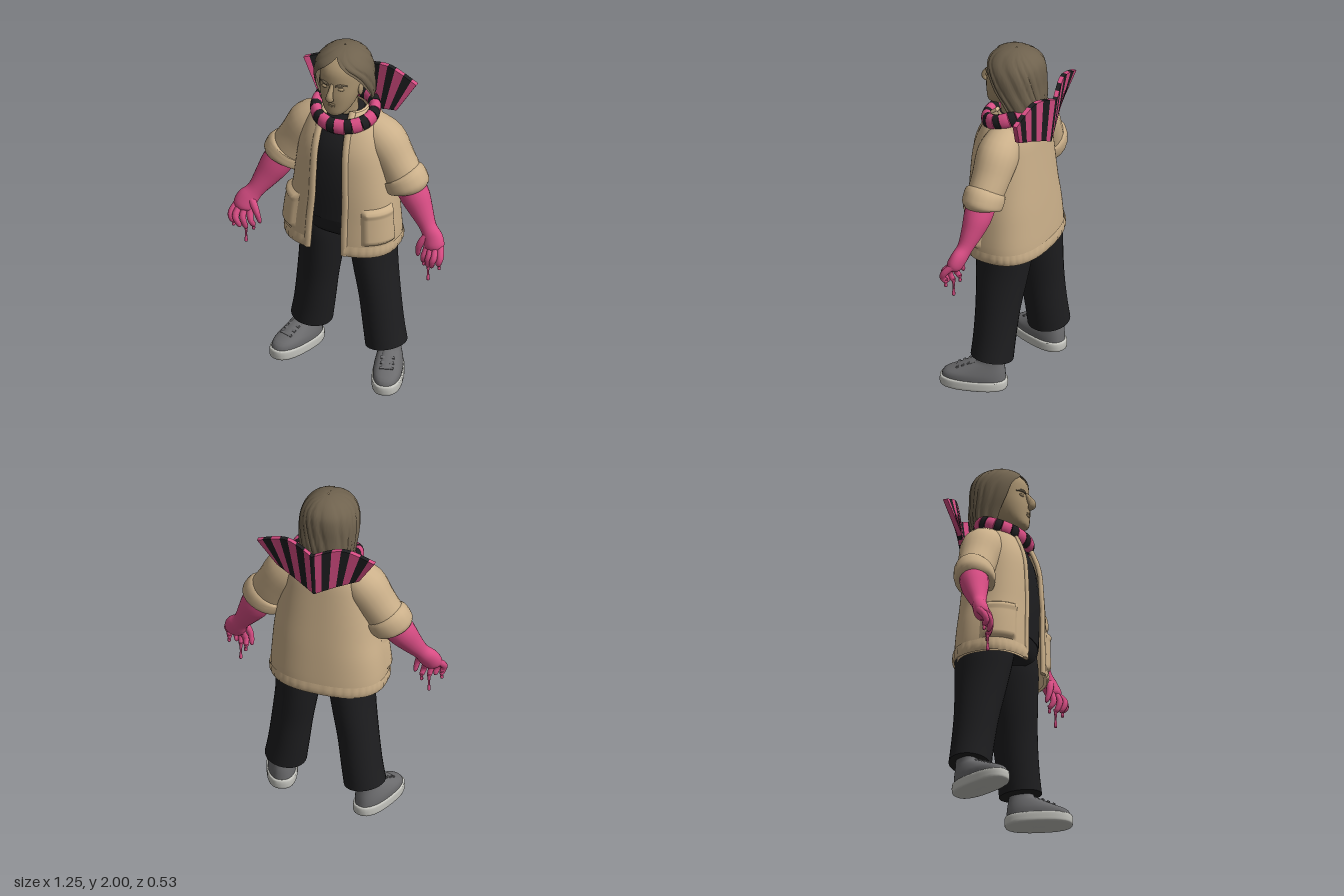
import * as THREE from 'three';
import { toCreasedNormals } from 'three/addons/utils/BufferGeometryUtils.js';

const V = (x, y, z) => new THREE.Vector3(x, y, z);
const material = (name, color) => {
  const m = new THREE.MeshStandardMaterial({ color, side: THREE.DoubleSide });
  m.name = name;
  return m;
};

// Smooth interpolation through rows of equally many numbers, t from 0 to 1
function spline(rows, t) {
  const n = rows.length - 1, s = t * n, i = Math.max(0, Math.min(Math.floor(s), n - 1)), f = s - i;
  const at = k => rows[Math.max(0, Math.min(n, k))];
  return rows[0].map((_, c) => {
    const a = at(i - 1)[c], b = at(i)[c], d = at(i + 1)[c], e = at(i + 2)[c];
    const m0 = (d - a) / 2, m1 = (e - b) / 2;
    return b + f * (m0 + f * (3 * (d - b) - 2 * m0 - m1 + f * (2 * (b - d) + m0 + m1)));
  });
}

// Surface from f(u, v); a closed one wraps around u and is capped at both ends
function grid(nu, nv, f, closed = true) {
  const pos = [], idx = [], cols = closed ? nu : nu + 1;
  for (let i = 0; i <= nv; i++) for (let j = 0; j < cols; j++) pos.push(...f(j / nu, i / nv).toArray());
  for (let i = 0; i < nv; i++) for (let j = 0; j < nu; j++) {
    const k = (j + 1) % cols, a = i * cols + j, b = i * cols + k;
    idx.push(a, b, b + cols, a, b + cols, a + cols);
  }
  if (closed) for (const i of [0, nv]) {
    const c = V(0, 0, 0), id = pos.length / 3;
    for (let j = 0; j < cols; j++) c.addScaledVector(f(j / nu, i / nv), 1 / cols);
    pos.push(...c.toArray());
    for (let j = 0; j < cols; j++) {
      const a = i * cols + j, b = i * cols + (j + 1) % cols;
      idx.push(id, ...(i ? [a, b] : [b, a]));
    }
  }
  const g = new THREE.BufferGeometry();
  g.setAttribute('position', new THREE.Float32BufferAttribute(pos, 3));
  g.setIndex(idx);
  return toCreasedNormals(g, 0.9);
}

// Point on a horizontal rounded section; row = [y, rx, rz, cz, cx], angle 0 is the front
function around([y, rx, rz, cz, cx], a, power = 2, off = 0) {
  const p = w => Math.sign(w) * Math.abs(w) ** (2 / power);
  return V(cx + (Math.max(rx, 0) + off) * p(Math.sin(a)), y, cz + (Math.max(rz, 0) + off) * p(Math.cos(a)));
}
function stack(rows, power = 2, n = 28) {
  const full = rows.map(([y, rx, rz, cz = 0, cx = 0]) => [y, rx, rz, cz, cx]);
  return grid(n, (rows.length - 1) * 3, (u, v) => around(spline(full, v), u * Math.PI * 2, power));
}

// Tapered limb along rows of [x, y, z, sideRadius, depthRadius]
function limb(rows, n = 20, ref = V(0, 0, 1)) {
  const full = rows.map(([x, y, z, side, depth = side]) => [x, y, z, side, depth]);
  return grid(n, (rows.length - 1) * 4, (u, v) => {
    const p = spline(full, v), a = u * Math.PI * 2;
    const lo = spline(full, Math.max(0, v - 0.01)), hi = spline(full, Math.min(1, v + 0.01));
    const T = V(hi[0] - lo[0], hi[1] - lo[1], hi[2] - lo[2]).normalize();
    const N = ref.clone().addScaledVector(T, -ref.dot(T)).normalize(), B = T.clone().cross(N);
    return V(p[0], p[1], p[2]).addScaledVector(B, Math.max(0, p[3]) * Math.sin(a))
      .addScaledVector(N, Math.max(0, p[4]) * Math.cos(a));
  });
}

export function createModel() {
  const root = new THREE.Group();
  const coatM = material('tan coat', 0xcbb08a), skin = material('skin', 0xa6906e);
  const hairM = material('brown hair', 0x6f624e), pink = material('pink', 0xd84d84);
  const black = material('black cloth', 0x1e1e20), shoeM = material('grey shoe', 0x6b6b6d);
  const soleM = material('pale sole', 0xc4c4be);
  const add = (name, geo, mat, parent = root) => {
    const m = new THREE.Mesh(geo, mat);
    m.name = name;
    parent.add(m);
    return m;
  };

  // Coat: open front, wide hem, rounded shoulders
  const coatRows = [[0.8, 0.315, 0.215, -0.005, -0.015], [0.87, 0.32, 0.215, -0.005, -0.012], [1, 0.308, 0.21, -0.003, -0.008],
    [1.12, 0.29, 0.205, 0, 0], [1.25, 0.272, 0.198, 0.003, 0], [1.4, 0.25, 0.187, 0.003, 0], [1.5, 0.225, 0.168, -0.008, 0],
    [1.58, 0.185, 0.138, -0.02, 0], [1.63, 0.12, 0.105, -0.03, 0]];
  const coatPoint = (u, v, off = 0) => {
    const row = spline(coatRows, v);
    const gap = w => Math.asin(Math.min(1, (w / row[1]) ** 1.25));
    const a0 = gap(0.1 - 0.03 * v), a1 = Math.PI * 2 - gap(0.125 - 0.03 * v);
    return around(row, a0 + u * (a1 - a0), 2.5, off);
  };
  add('coatBody', grid(64, 24, (u, v) => coatPoint(u, v), false), coatM);
  add('coatLining', grid(64, 24, (u, v) => coatPoint(u, v, -0.015), false), coatM);
  add('coatHem', grid(108, 4, (u, v) => coatPoint(u, v * 0.12,
    0.004 + 0.008 * Math.sin(Math.PI * v) * (0.6 + 0.4 * Math.cos(u * 226))), false), coatM);
  for (const u of [0, 1]) {
    const edge = [...Array(9)].map((_, i) => [...coatPoint(u, i / 8, -0.004).toArray(), 0.02, 0.013]);
    add('coatFrontEdge', limb(edge, 10), coatM);
  }
  // Patch pockets follow the coat surface
  const puff = w => Math.min(1, 9 * Math.min(w, 1 - w));
  for (const start of [0.055, 0.785]) {
    add('pocket', grid(18, 18, (u, v) => coatPoint(start + u * 0.16, 0.13 + v * 0.225,
      0.02 * puff(u) * puff(v) + (v > 0.8 && v < 0.97 ? 0.006 * puff(u) : 0)), false), coatM);
  }

  // Shirt and hips
  add('shirt', stack([[0.98, 0.24, 0.17], [1.2, 0.235, 0.18], [1.4, 0.2, 0.168], [1.52, 0.15, 0.135, -0.01], [1.61, 0.09, 0.09, -0.02]], 2.5), black);
  add('hips', stack([[0.86, 0.2, 0.13, -0.02], [0.9, 0.25, 0.16, -0.015], [1, 0.26, 0.175, -0.005], [1.02, 0.24, 0.165]], 2.3), black);

  // Arms, hands, legs and shoes, one set per side
  for (const s of [1, -1]) {
    const side = s > 0 ? 'left' : 'right';
    const arm = new THREE.Group();
    arm.name = side + 'Arm';
    const swing = s > 0 ? 0 : 0.065;
    const flip = rows => rows.map(([x, y, z, ...r]) =>
      [s * x, y, z + swing * Math.min(1, Math.max(0, (1.24 - y) / 0.28)), ...r]);
    add('sleeve', limb(flip([[0.12, 1.56, -0.03, 0.06, 0.08], [0.21, 1.46, -0.025, 0.12, 0.115],
      [0.29, 1.34, -0.02, 0.11, 0.105], [0.35, 1.24, -0.01, 0.11, 0.095]])), coatM, arm);
    add('cuff', limb(flip([[0.327, 1.28, -0.012, 0.1, 0.09], [0.335, 1.268, -0.012, 0.122, 0.108], [0.352, 1.235, -0.01, 0.128, 0.112],
      [0.37, 1.2, -0.008, 0.122, 0.106], [0.374, 1.19, -0.008, 0.09, 0.08]])), coatM, arm);
    add('forearm', limb(flip([[0.36, 1.24, -0.01, 0.085, 0.08], [0.41, 1.15, -0.004, 0.084, 0.076], [0.455, 1.07, 0.008, 0.066, 0.058],
      [0.5, 0.995, 0.025, 0.048, 0.042], [0.535, 0.945, 0.042, 0.06, 0.042], [0.555, 0.9, 0.06, 0.055, 0.04], [0.56, 0.875, 0.068, 0.02, 0.02]])), pink, arm);
    // Curling fingers; each row gives root x, knuckle x, tip x, tip y, forward reach
    for (const [a, b, c, y, z] of [[0.585, 0.605, 0.593, 0.815, 0.105], [0.56, 0.575, 0.555, 0.8, 0.115],
      [0.535, 0.54, 0.525, 0.79, 0.1], [0.515, 0.508, 0.488, 0.8, 0.08]]) {
      add('finger', limb(flip([[a, 0.92, 0.05, 0.02], [b, 0.87, z - 0.01, 0.019], [(b + c) / 2, 0.835, z, 0.017],
        [c, y, z - 0.015, 0.013], [c - 0.004, y - 0.01, z - 0.02, 0.003]]), 10), pink, arm);
    }
    add('thumb', limb(flip([[0.52, 0.97, 0.045, 0.022], [0.485, 0.925, 0.065, 0.021], [0.465, 0.88, 0.07, 0.017],
      [0.455, 0.83, 0.06, 0.012], [0.453, 0.815, 0.058, 0.003]]), 10), pink, arm);
    for (const [x, top, end, z] of [[0.525, 0.8, 0.69, 0.08], [0.595, 0.83, 0.78, 0.09], [0.49, 0.81, 0.765, 0.06]]) {
      add('drip', limb(flip([[x, top, z, 0.012], [x, (top + end) / 2, z, 0.006], [x, end + 0.02, z, 0.009],
        [x, end + 0.006, z, 0.009], [x, end, z, 0.002]]), 8), pink, arm);
    }
    root.add(arm);

    const leg = new THREE.Group();
    leg.name = side + 'Leg';
    const back = s > 0 ? 0 : -0.085;
    add('trouserLeg', limb([[0.13, 1, -0.02, 0.11, 0.15], [0.147, 0.85, -0.025, 0.125, 0.165], [0.165, 0.68, -0.02, 0.118, 0.148],
      [0.195, 0.48, -0.012, 0.112, 0.125], [0.22, 0.3, -0.005, 0.112, 0.117], [0.24, 0.18, 0, 0.115, 0.117]]
      .map(([x, y, z, ...r]) => [s * x, y, z + back * Math.min(1, (1 - y) / 0.8), ...r]), 28), black, leg);
    const shoe = new THREE.Group();
    shoe.name = 'shoe';
    add('sole', stack([[0, 0.07, 0.165], [0.006, 0.083, 0.182], [0.03, 0.085, 0.186], [0.055, 0.084, 0.184], [0.06, 0.076, 0.176]], 2.5), soleM, shoe);
    add('shoeUpper', stack([[0.05, 0.078, 0.176], [0.085, 0.078, 0.168, -0.006], [0.115, 0.071, 0.135, -0.036],
      [0.145, 0.062, 0.098, -0.068], [0.17, 0.056, 0.072, -0.09], [0.21, 0.054, 0.064, -0.095]], 2.4), shoeM, shoe);
    add('shoeTongue', limb([[0, 0.165, -0.02, 0.03, 0.012], [0, 0.14, 0.03, 0.035, 0.012], [0, 0.112, 0.09, 0.03, 0.01]], 12, V(0, 1, 0)), shoeM, shoe);
    for (const [y, z] of [[0.15, 0.025], [0.135, 0.055], [0.12, 0.085]]) {
      const lace = add('lace', new THREE.BoxGeometry(0.075, 0.008, 0.014), shoeM, shoe);
      lace.position.set(0, y, z);
      lace.rotation.x = 0.45;
    }
    shoe.position.set(s * 0.29, 0, s > 0 ? 0.085 : 0);
    shoe.rotation.y = s * 0.32;
    leg.add(shoe);
    root.add(leg);
  }

  // Rolled scarf around the neck, low at the front, in alternating stripes
  const pairs = 11, step = 2 * Math.PI / pairs;
  for (let k = 0; k < pairs; k++) {
    for (const [from, to, mat] of [[0, 0.58, pink], [0.58, 1, black]]) {
      const rows = [from, (from + to) / 2, to].map(t => {
        const a = (k + t) * step;
        return [0.165 * Math.sin(a), 1.615 - 0.048 * Math.cos(a), 0.005 + 0.13 * Math.cos(a), 0.032, 0.045];
      });
      add('scarfStripe', limb(rows, 14, V(0, 1, 0)), mat);
    }
  }
  // Pointed kerchief standing out behind the neck
  const upper = [[0, 1.75, -0.255], [0.16, 1.795, -0.212], [0.335, 1.735, -0.19]];
  const lower = [[0, 1.475, -0.22], [0.12, 1.53, -0.188], [0.235, 1.57, -0.152]];
  const edgeAt = (rows, s) => {
    const [x, y, z] = spline(rows, Math.abs(s));
    return V(Math.sign(s) * x, y, z);
  };
  const cuts = [-1, -0.87, -0.74, -0.61, -0.48, -0.34, -0.2, -0.07, 0.07, 0.2, 0.34, 0.48, 0.61, 0.74, 0.87, 1];
  for (let k = 0; k < cuts.length - 1; k++) {
    // Each stripe folds at its middle, which makes the ridge on the centre line
    const mid = (cuts[k] + cuts[k + 1]) / 2;
    const across = [cuts[k], mid, cuts[k + 1], cuts[k + 1], mid, cuts[k]];
    add('kerchiefStripe', grid(6, 1, (u, v) => {
      const c = Math.round(u * 6) % 6;
      const p = edgeAt(v ? upper : lower, across[c]);
      p.z += c < 3 ? 0.013 : -0.013;
      return p;
    }), k % 2 ? black : pink);
  }

  // Neck and head
  add('neck', stack([[1.5, 0.075, 0.07, -0.01], [1.6, 0.068, 0.068, 0], [1.74, 0.07, 0.07, 0.01]]), skin);
  add('head', stack([[1.638, 0.03, 0.03, 0.115, -0.012], [1.655, 0.06, 0.06, 0.095, -0.012], [1.7, 0.09, 0.095, 0.062, -0.012],
    [1.76, 0.108, 0.118, 0.04, -0.012], [1.82, 0.115, 0.125, 0.026, -0.012], [1.9, 0.11, 0.125, 0.02, -0.012],
    [1.95, 0.085, 0.09, 0.01, -0.012], [1.975, 0.02, 0.02, 0, -0.012]], 2.2), skin);
  add('nose', limb([[-0.014, 1.835, 0.143, 0.01], [-0.014, 1.8, 0.165, 0.014, 0.018], [-0.014, 1.768, 0.183, 0.021, 0.02],
    [-0.014, 1.75, 0.17, 0.02, 0.014], [-0.014, 1.744, 0.16, 0.006]], 12), skin);
  for (const [y, r] of [[1.717, 0.007], [1.706, 0.008]]) {
    add('lip', limb([[-0.046, 1.711, 0.143, 0.002], [-0.012, y, 0.158, r], [0.022, 1.711, 0.143, 0.002]], 8, V(0, 1, 0)), skin);
  }
  for (const s of [1, -1]) {
    const x = -0.013 + s * 0.046;
    const eye = add('eye', new THREE.SphereGeometry(0.02, 14, 10), skin);
    eye.scale.set(1, 0.5, 0.55);
    eye.position.set(x, 1.812, 0.139);
    add('brow', limb([[x - s * 0.026, 1.83, 0.151, 0.004], [x, 1.838, 0.146, 0.008], [x + s * 0.034, 1.832, 0.122, 0.003]], 8, V(0, 1, 0)), hairM);
    const ear = add('ear', new THREE.SphereGeometry(0.03, 12, 10), skin);
    ear.scale.set(0.4, 1.2, 0.8);
    ear.position.set(-0.012 + s * 0.116, 1.775, 0.035);
  }

  // Bobbed hair with strands; the last two values open it around the face on each side
  const hairRows = [[1.645, 0.11, 0.09, -0.05, -0.015, 1.65, 0.95], [1.635, 0.145, 0.11, -0.05, -0.015, 1.6, 0.9],
    [1.71, 0.16, 0.135, -0.04, -0.015, 1.4, 0.88], [1.79, 0.167, 0.152, -0.02, -0.015, 1.15, 0.82], [1.87, 0.162, 0.16, -0.01, -0.015, 0.85, 0.7],
    [1.93, 0.138, 0.148, -0.008, -0.015, 0.4, 0.3], [1.975, 0.09, 0.1, -0.012, -0.012, 0, 0], [1.995, 0.04, 0.045, -0.015, -0.01, 0, 0], [2, 0.004, 0.004, -0.015, -0.01, 0, 0]];
  add('hair', grid(120, 28, (u, v) => {
    const row = spline(hairRows, v), a0 = Math.max(0, row[5]), a1 = Math.PI * 2 - Math.max(0, row[6]);
    const strand = 1 - 0.035 * Math.abs(Math.sin(u * 40 + 1.3 * Math.sin(u * 17))) ** 6;
    row[1] *= strand;
    row[2] *= strand;
    return around(row, a0 + u * (a1 - a0), 2.15);
  }, false), hairM);

  return root;
}
